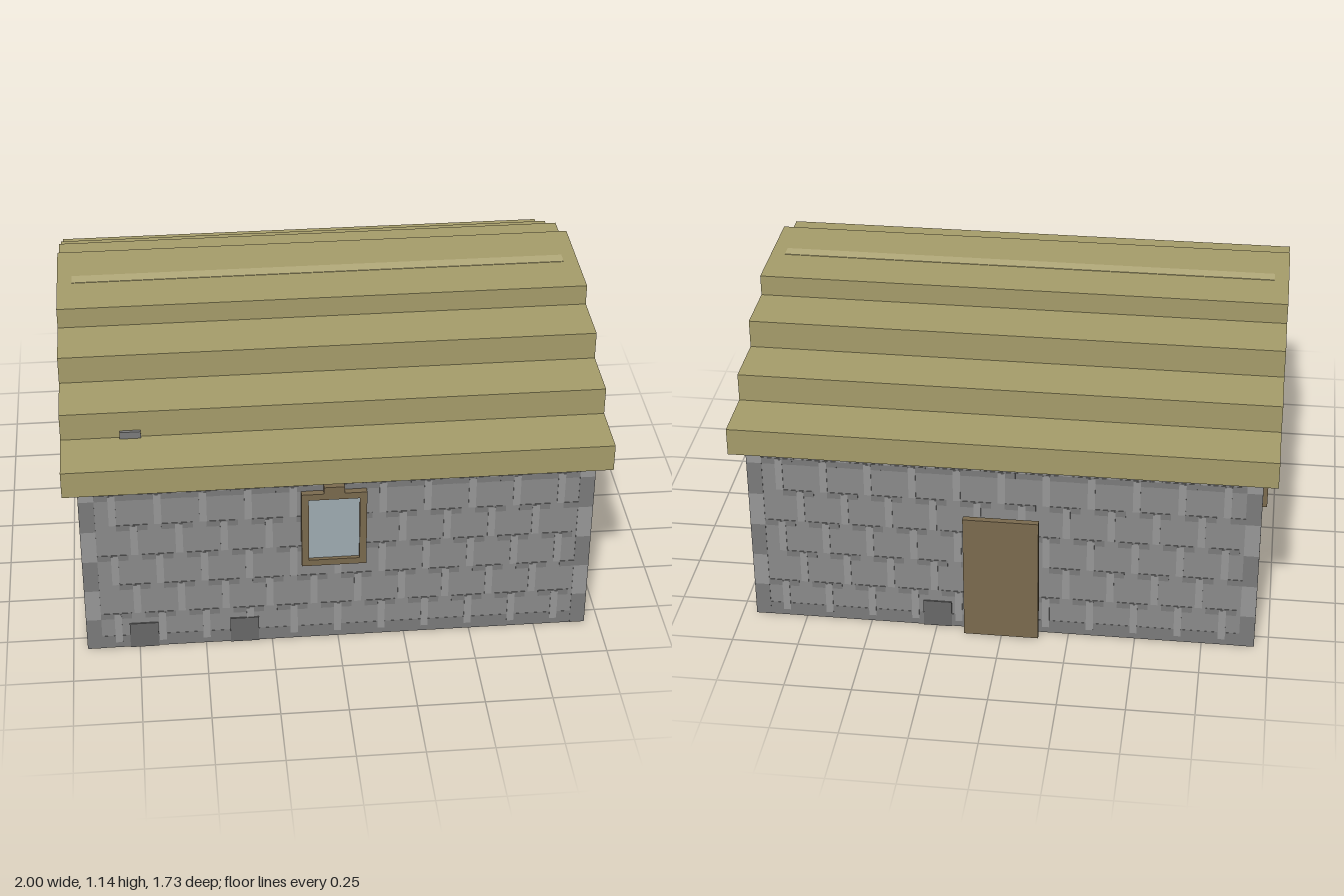
import * as THREE from 'three';
import { mergeGeometries } from 'three/addons/utils/BufferGeometryUtils.js';

const mat = (color) => new THREE.MeshStandardMaterial({ color, flatShading: true });
const MATS = {
  stone: mat(0x8a8a8a), light: mat(0x979797), dark: mat(0x7b7b7b), block: mat(0x686868),
  thatch: mat(0xa59c6a), ridge: mat(0xb3aa7a), wood: mat(0x7a6a4e), glass: mat(0x9fabb1),
};
const HALF_X = 0.945, HALF_Z = 0.815, WALL_H = 0.735;

// Box given by its lower and upper bounds on each axis
function boxGeo(x0, x1, y0, y1, z0, z1) {
  return new THREE.BoxGeometry(x1 - x0, y1 - y0, z1 - z0)
    .translate((x0 + x1) / 2, (y0 + y1) / 2, (z0 + z1) / 2);
}

function add(parent, name, geometry, material) {
  const mesh = new THREE.Mesh(geometry, material);
  mesh.name = name;
  parent.add(mesh);
  return mesh;
}

// Masonry relief for one wall, in wall space: u along the wall, y up, z = 0 on the surface
function addMasonry(wall, halfWidth) {
  const light = [], dark = [];
  const patch = (list, u0, u1, y0, y1, t = 0.002) => {
    const a = Math.max(u0, -halfWidth), b = Math.min(u1, halfWidth);
    if (b - a > 0.005) list.push(boxGeo(a, b, y0, y1, -0.005, t));
  };
  const inner = halfWidth - 0.055, pitch = 0.165;
  for (let row = 0; row < 6; row++) {
    const y = 0.135 + row * 0.135;
    const shift = (row % 2) * 0.075;
    for (let u = -inner + shift; u < inner; u += pitch) {
      // Dark bed joint and light upright joint of each stone
      if (y < 0.7) patch(dark, u, Math.min(u + 0.115, inner), y, y + 0.025);
      if (u + 0.08 < inner) patch(light, u + 0.05, u + 0.077, y - 0.11, Math.min(y + 0.02, WALL_H), 0.003);
    }
    // Corner stones
    for (const s of [-1, 1]) {
      const [a, b] = s < 0 ? [-halfWidth, -inner] : [inner, halfWidth];
      patch(row % 2 ? light : dark, a, b, Math.max(y - 0.135, 0), Math.min(y, WALL_H));
    }
  }
  patch(dark, -inner, inner, 0, 0.055, 0.001);
  patch(dark, -inner, inner, 0.675, 0.7, 0.001);
  add(wall, 'lightJoints', mergeGeometries(light), MATS.light);
  add(wall, 'darkJoints', mergeGeometries(dark), MATS.dark);
}

// Window frame with a small raised head, and a recessed pane
function addWindow(wall, u, y, headOffset) {
  const w = 0.12, h = 0.322, g = 0.026;
  const outline = new THREE.Shape();
  [[-w, 0], [w, 0], [w, h], [headOffset + 0.038, h], [headOffset + 0.038, h + 0.028],
    [headOffset - 0.038, h + 0.028], [headOffset - 0.038, h], [-w, h]]
    .forEach(([a, b], i) => (i ? outline.lineTo(a, b) : outline.moveTo(a, b)));
  outline.closePath();
  const hole = new THREE.Path();
  hole.moveTo(-w + g, g).lineTo(-w + g, h - g).lineTo(w - g, h - g).lineTo(w - g, g).closePath();
  outline.holes.push(hole);
  const win = new THREE.Group();
  win.name = 'window';
  win.position.set(u, y, 0);
  add(win, 'windowFrame', new THREE.ExtrudeGeometry(outline, { depth: 0.026, bevelEnabled: false }), MATS.wood);
  add(win, 'windowPane', boxGeo(-w + g, w - g, g, h - g, 0, 0.012), MATS.glass);
  wall.add(win);
}

// Dark foundation blocks along the foot of a wall
function addBlocks(wall, starts) {
  for (const u of starts) {
    add(wall, 'foundationBlock', boxGeo(u, u + 0.107, 0, 0.11, -0.005, 0.005), MATS.block);
  }
}

export function createModel() {
  const house = new THREE.Group();
  house.name = 'house';
  add(house, 'wallCore', boxGeo(-HALF_X, HALF_X, 0, WALL_H, -HALF_Z, HALF_Z), MATS.stone);

  // Four wall faces, each with local z pointing outward
  const wall = (name, angle, distance, halfWidth) => {
    const g = new THREE.Group();
    g.name = name;
    g.rotation.y = angle;
    g.position.set(Math.sin(angle) * distance, 0, Math.cos(angle) * distance);
    addMasonry(g, halfWidth);
    house.add(g);
    return g;
  };
  const front = wall('frontWall', 0, HALF_Z, HALF_X);
  const left = wall('leftWall', Math.PI / 2, HALF_X, HALF_Z);
  const back = wall('backWall', Math.PI, HALF_Z, HALF_X);
  const right = wall('rightWall', -Math.PI / 2, HALF_X, HALF_Z);

  addWindow(front, -0.018, 0.354, 0);
  addWindow(left, -0.1, 0.11, 0);
  addWindow(right, 0.1, 0.11, 0);
  addBlocks(front, [-0.785, -0.407]);
  addBlocks(left, [0.46]);
  addBlocks(back, [-0.3]);

  // Door: inner board and a slightly larger outer panel
  add(back, 'doorBoard', boxGeo(-0.115, 0.115, 0, 0.49, 0, 0.026), MATS.wood);
  add(back, 'doorPanel', boxGeo(-0.14, 0.14, 0.005, 0.515, 0.026, 0.05), MATS.wood);

  // Stepped roof: one terraced gable profile run along x
  const steps = [[0.865, 0.735, 0.84], [0.65, 0.84, 0.947], [0.433, 0.947, 1.055], [0.217, 1.055, 1.135]];
  const half = steps.flatMap(([z, y0, y1]) => [[z, y0], [z, y1]]);
  const points = [...half, ...half.map(([z, y]) => [-z, y]).reverse()];
  const profile = new THREE.Shape(points.map(([z, y]) => new THREE.Vector2(z, y)));
  const roofGeo = new THREE.ExtrudeGeometry(profile, { depth: 2, bevelEnabled: false });
  roofGeo.translate(0, 0, -1).rotateY(Math.PI / 2);
  add(house, 'steppedRoof', roofGeo, MATS.thatch);
  add(house, 'ridgeStrip', boxGeo(-HALF_X, HALF_X, 1.12, 1.137, -0.026, 0.026), MATS.ridge);

  // Small loose stone on the lowest front step
  add(house, 'roofStone', boxGeo(-0.785, -0.708, 0.835, 0.868, 0.64, 0.662), MATS.dark);
  return house;
}
